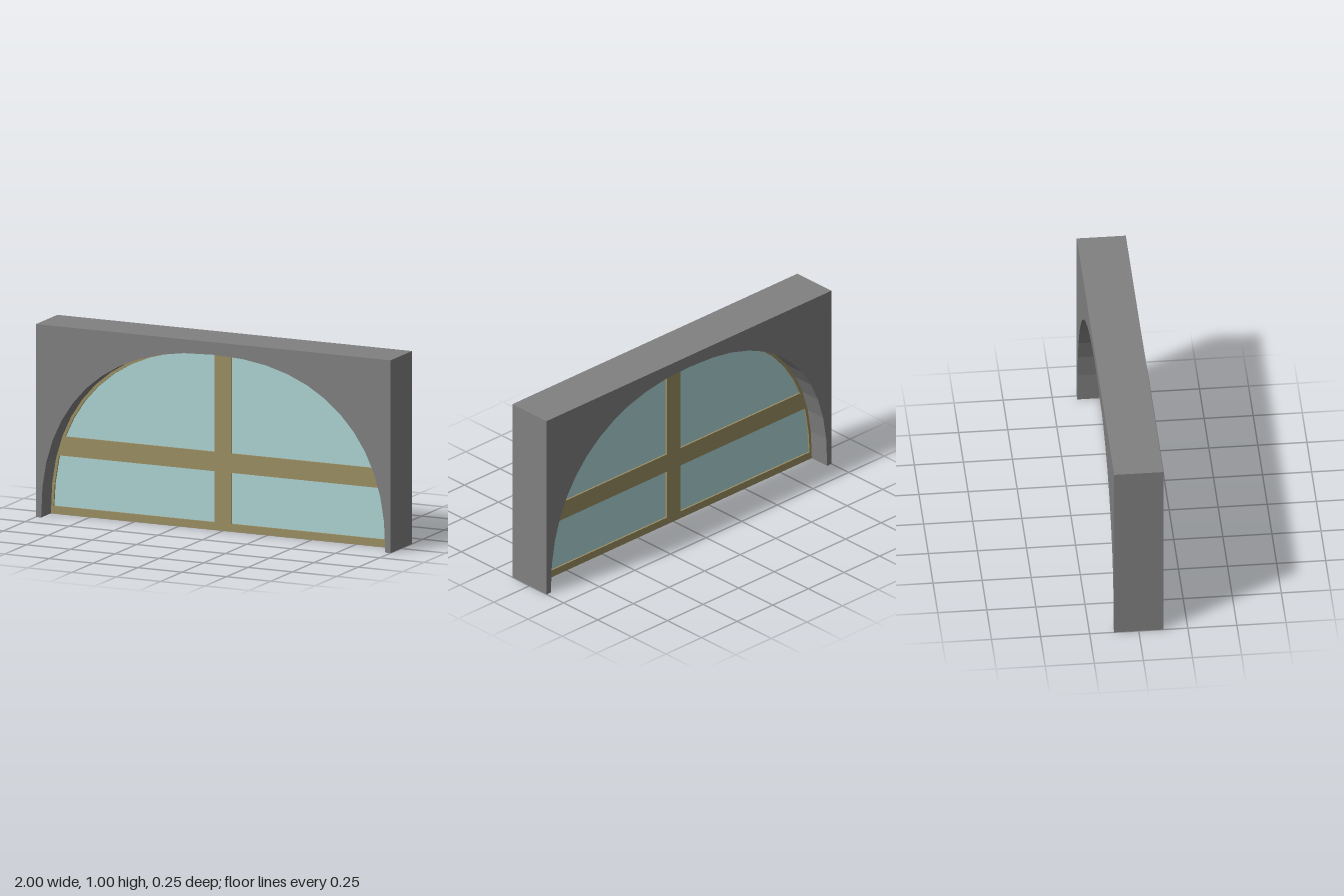
import * as THREE from 'three';

const POWER = 2.3;      // fullness of the arch curve
const SEGMENTS = 24;

// Arch points from right foot over the crown to the left foot
function archPoints(rx, ry) {
  const points = [];
  for (let i = 0; i <= SEGMENTS; i++) {
    const a = (Math.PI * i) / SEGMENTS;
    const c = Math.cos(a), s = Math.max(0, Math.sin(a));
    points.push(new THREE.Vector2(
      rx * Math.sign(c) * Math.abs(c) ** (2 / POWER),
      i === SEGMENTS ? 0 : ry * s ** (2 / POWER)));
  }
  return points;
}

// Other coordinate on the arch for a given one
const across = (v, r, other) => other * (1 - (v / r) ** POWER) ** (1 / POWER);

function extrude(name, shape, depth, color) {
  const geometry = new THREE.ExtrudeGeometry(shape, { depth, bevelEnabled: false });
  geometry.translate(0, 0, -depth / 2);
  const mesh = new THREE.Mesh(geometry, new THREE.MeshStandardMaterial({ color }));
  mesh.name = name;
  return mesh;
}

export function createModel() {
  const group = new THREE.Group();
  group.name = 'archedWindow';

  const outer = [0.97, 0.935];
  const inner = [0.955, 0.921];
  const mullion = 0.047;
  const opening = archPoints(...outer);

  // Wall block with the arched opening cut up from the bottom
  const wall = new THREE.Shape([
    new THREE.Vector2(1, 0), new THREE.Vector2(1, 1),
    new THREE.Vector2(-1, 1), new THREE.Vector2(-1, 0),
    ...opening.slice().reverse(),
  ]);
  group.add(extrude('wall', wall, 0.25, 0x808080));

  // Window frame: arch rim, bottom rail, mullion and transom around four panes
  const frame = new THREE.Shape(opening);
  const rim = archPoints(...inner);
  for (const [low, high] of [[0.04, 0.305], [0.405, null]]) {
    const pane = [
      new THREE.Vector2(mullion, low),
      new THREE.Vector2(across(low, inner[1], inner[0]), low),
      ...rim.filter(p => p.x > mullion + 0.01 && p.y > low + 0.005 && (high === null || p.y < high - 0.005)),
    ];
    if (high === null) {
      pane.push(new THREE.Vector2(mullion, across(mullion, inner[0], inner[1])));
    } else {
      pane.push(new THREE.Vector2(across(high, inner[1], inner[0]), high), new THREE.Vector2(mullion, high));
    }
    for (const side of [1, -1]) {
      frame.holes.push(new THREE.Path(pane.map(p => new THREE.Vector2(p.x * side, p.y))));
    }
  }
  group.add(extrude('windowFrame', frame, 0.024, 0x9c8f62));

  // Glass sheet, held inside the rim
  const glass = new THREE.Shape(archPoints(0.962, 0.928).map(p => new THREE.Vector2(p.x, Math.max(p.y, 0.02))));
  group.add(extrude('glass', glass, 0.006, 0xaed4d4));

  return group;
}
